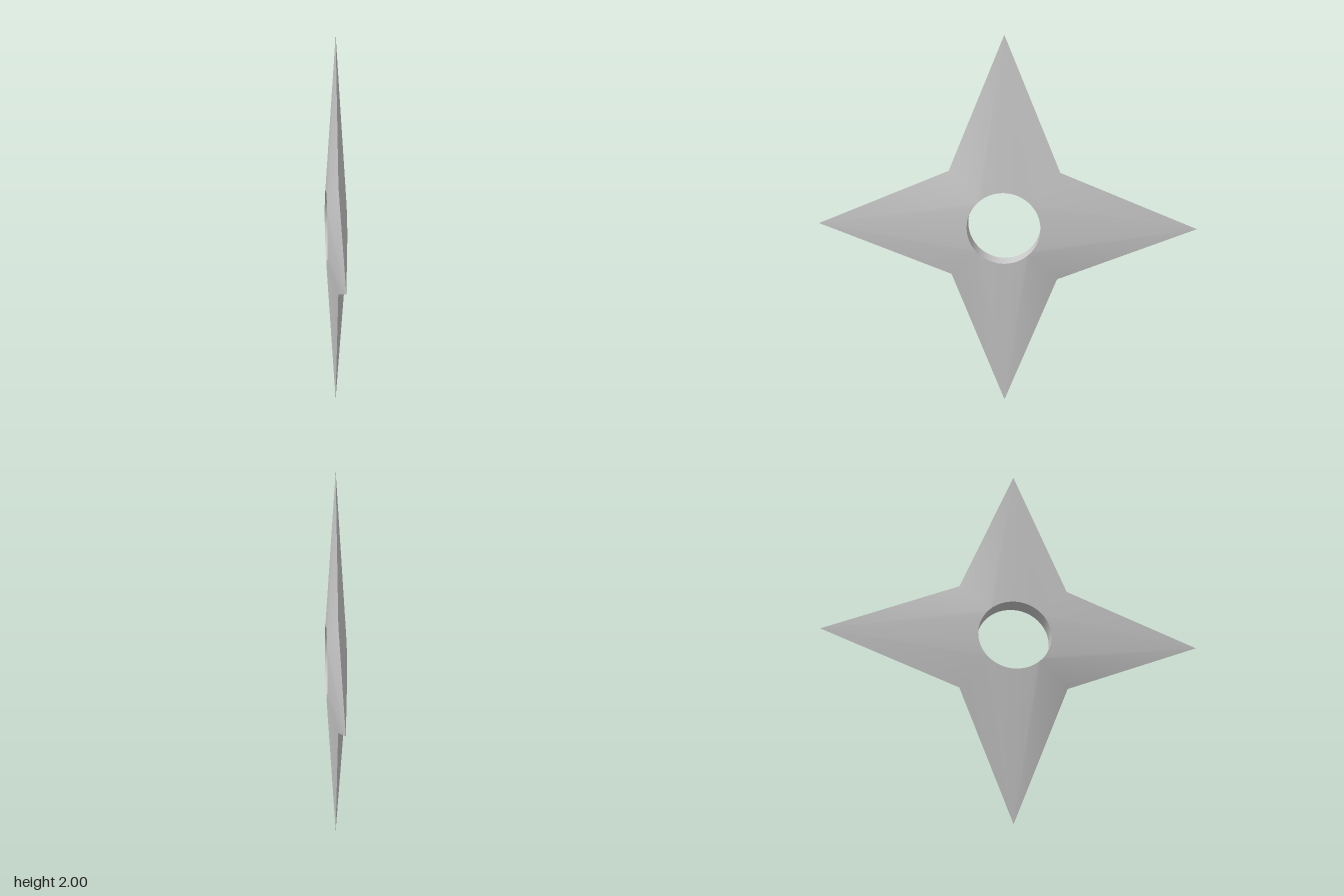
import * as THREE from 'three';
import { toCreasedNormals } from 'three/addons/utils/BufferGeometryUtils.js';

const HALF = 0.05, RADIUS = 0.193, ARC = 12; // ARC = hole segments per point
const CENTRE = { z: 0.012, y: 1 };

// Outline as [z, y], turning from +z towards +y
const tips = [[0.995, 1], [0.01, 2], [-0.995, 1], [0.01, 0]];
const valleys = [[0.3, 1.295], [-0.28, 1.292], [-0.27, 0.708], [0.293, 0.728]];

function geometryFrom(positions) {
  const g = new THREE.BufferGeometry();
  g.setAttribute('position', new THREE.Float32BufferAttribute(positions, 3));
  return toCreasedNormals(g, 0.3);
}

export function createModel() {
  const group = new THREE.Group();
  group.name = 'throwingStar';
  const material = new THREE.MeshStandardMaterial({ color: 0xcccccc });

  const rim = (i, side = 1) => {
    const a = ((i / ARC) * Math.PI) / 2;
    return [side * HALF, CENTRE.y + RADIUS * Math.sin(a), CENTRE.z + RADIUS * Math.cos(a)];
  };
  const edge = ([z, y]) => [0, y, z];

  // Four bevelled points, each a fan from the hole rim to a sharp tip
  const blade = [];
  const addMirrored = (a, b, c) => {
    blade.push(...a, ...b, ...c);
    for (const p of [a, c, b]) blade.push(-p[0], p[1], p[2]);
  };
  tips.forEach((t, k) => {
    const tip = edge(t);
    const first = k * ARC - ARC / 2, last = first + ARC;
    for (let i = first; i < last; i++) addMirrored(rim(i), rim(i + 1), tip);
    addMirrored(rim(last), edge(valleys[k]), tip);
    addMirrored(rim(first), tip, edge(valleys[(k + 3) % 4]));
  });
  const bladeMesh = new THREE.Mesh(geometryFrom(blade), material);
  bladeMesh.name = 'blade';

  // Inner wall of the round hole
  const wall = [];
  for (let i = 0; i < ARC * 4; i++) {
    const a = rim(i), b = rim(i + 1), c = rim(i + 1, -1), d = rim(i, -1);
    wall.push(...a, ...c, ...b, ...a, ...d, ...c);
  }
  const wallMesh = new THREE.Mesh(geometryFrom(wall), material);
  wallMesh.name = 'holeWall';

  group.add(bladeMesh, wallMesh);
  return group;
}
